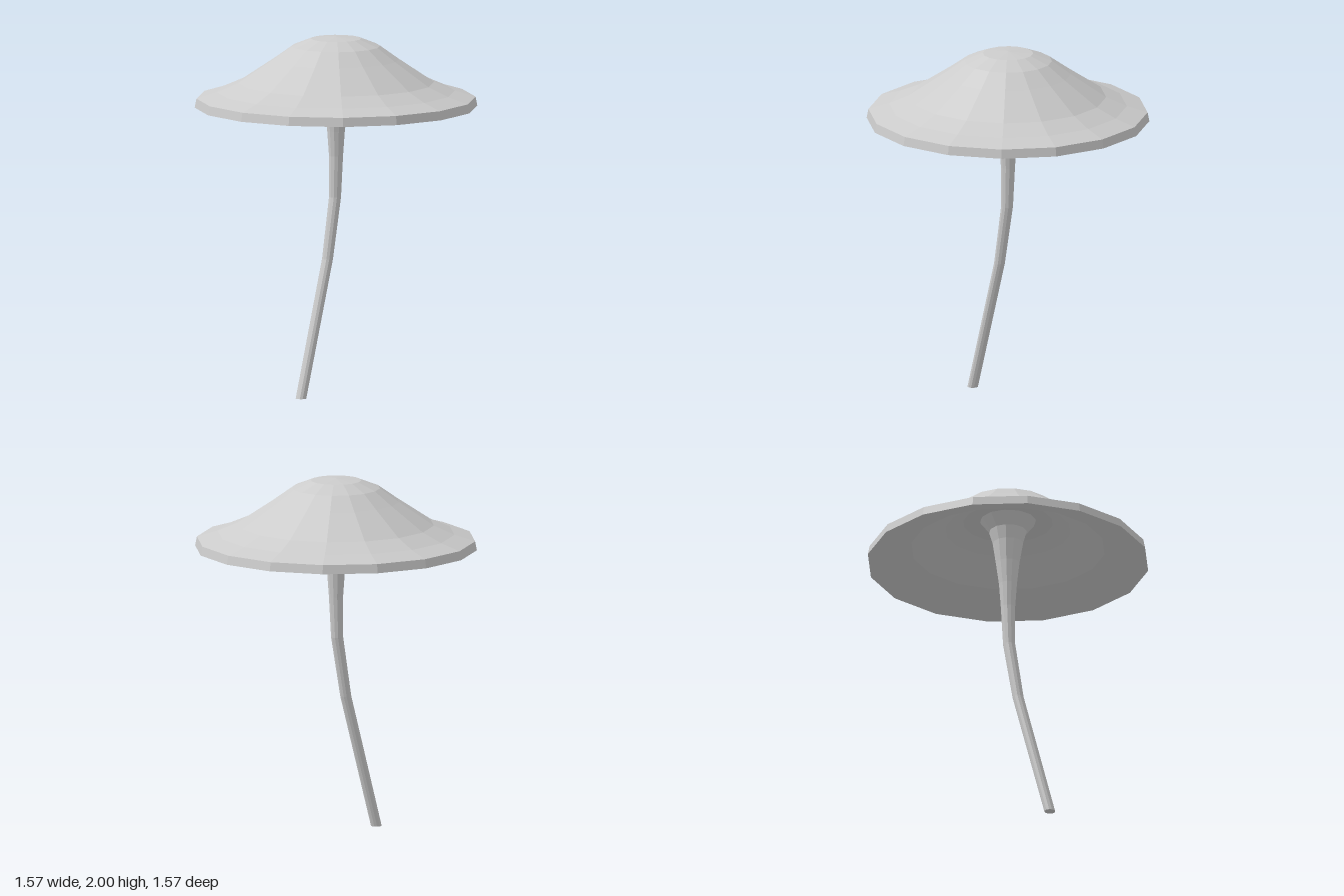
import * as THREE from 'three';

const material = new THREE.MeshStandardMaterial({ color: 0xcccccc, flatShading: true });

function facetedMesh(geometry, name) {
  const faceted = geometry.toNonIndexed();
  faceted.computeVertexNormals();
  const mesh = new THREE.Mesh(faceted, material);
  mesh.name = name;
  return mesh;
}

// Thin 16-sided cap: hollow underside out to the rim, then over the top
function makeCap() {
  const profile = [
    [0, 1.87], [0.16, 1.855], [0.25, 1.845], [0.35, 1.80], [0.54, 1.69], [0.66, 1.645], [0.785, 1.605],
    [0.775, 1.655], [0.66, 1.69], [0.545, 1.74], [0.35, 1.87], [0.245, 1.945], [0.14, 1.987], [0, 1.998],
  ].map(([r, y]) => new THREE.Vector2(r, y));
  return facetedMesh(new THREE.LatheGeometry(profile, 16), 'cap');
}

// Bent stem that flares into the cap; rings are [height, z offset, radius]
function makeStem() {
  const rings = [
    [1.86, 0, 0.16], [1.79, 0, 0.105], [1.72, 0, 0.085], [1.6, -0.002, 0.066], [1.47, 0, 0.05],
    [1.33, 0, 0.04], [1.1, 0.008, 0.034], [0.76, 0.07, 0.031], [0, 0.29, 0.03],
  ];
  const last = rings.length - 1;
  const geometry = new THREE.CylinderGeometry(1, 1, 1, 12, last);
  const p = geometry.attributes.position;
  for (let i = 0; i < p.count; i++) {
    const [y, z, r] = rings[Math.round((0.5 - p.getY(i)) * last)];
    p.setXYZ(i, p.getX(i) * r, y, z + p.getZ(i) * r);
  }
  return facetedMesh(geometry, 'stem');
}

export function createModel() {
  const group = new THREE.Group();
  group.name = 'mushroom';
  group.add(makeCap(), makeStem());
  return group;
}
